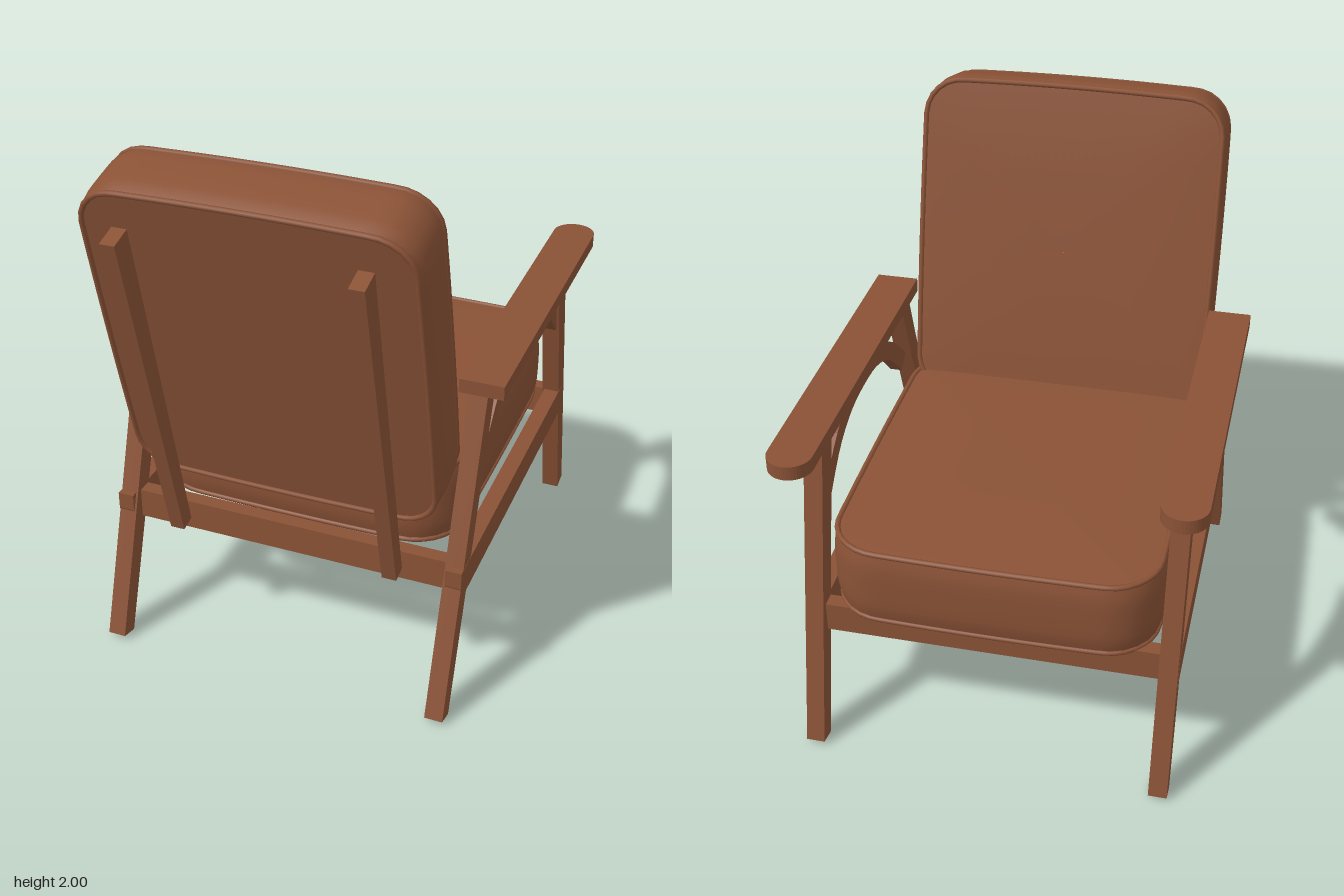
import * as THREE from 'three';

const wood = new THREE.MeshStandardMaterial({ color: 0x8a5236 });
wood.name = 'warm brown';

function add(parent, name, geometry) {
  const mesh = new THREE.Mesh(geometry, wood);
  mesh.name = name;
  parent.add(mesh);
  return mesh;
}

// Side profile given as [z, y] points, extruded across x0..x1
function sidePrism(points, x0, x1) {
  const shape = new THREE.Shape(points.map(([z, y]) => new THREE.Vector2(z, y)));
  const geo = new THREE.ExtrudeGeometry(shape, { depth: x1 - x0, bevelEnabled: false });
  return geo.rotateY(-Math.PI / 2).translate(x1, 0, 0);
}

// Same profile on both sides of the chair
function pair(parent, name, points, x0, x1) {
  add(parent, name + 'Left', sidePrism(points, x0, x1));
  add(parent, name + 'Right', sidePrism(points, -x1, -x0));
}

// Rounded rectangle in the x/z plane with slightly bowed edges
function outline(hx, hz, r, grow = 0) {
  const X = hx - r, Z = hz - r, R = r + grow, q = Math.PI / 2;
  const s = new THREE.Shape();
  s.absarc(X, Z, R, 0, q);
  s.absarc(-X, Z, R, q, 2 * q);
  s.absarc(-X, -Z, R, 2 * q, 3 * q);
  s.absarc(X, -Z, R, 3 * q, 4 * q);
  s.closePath();
  return s.getSpacedPoints(96).slice(0, 96).map(p => new THREE.Vector2(
    p.x * (1 + 0.012 * (1 - (p.y / hz) ** 2)),
    p.y * (1 + 0.02 * (1 - (p.x / hx) ** 2))));
}

// Skin over a stack of closed rings
function loft(rings) {
  const n = rings[0].length, pos = [], idx = [];
  rings.forEach(ring => ring.forEach(p => pos.push(p.x, p.y, p.z)));
  for (let i = 0; i < rings.length - 1; i++) {
    for (let j = 0; j < n; j++) {
      const k = (j + 1) % n, a = i * n + j, b = i * n + k, c = a + n, d = b + n;
      idx.push(a, c, b, b, c, d);
    }
  }
  const geo = new THREE.BufferGeometry();
  geo.setAttribute('position', new THREE.Float32BufferAttribute(pos, 3));
  geo.setIndex(idx);
  geo.computeVertexNormals();
  return geo;
}

// Box cushion: bulging sides, crowned top, piping along both seams
function cushion(name, hx, hz, r, thick, crown) {
  const g = new THREE.Group();
  g.name = name;
  const h = thick / 2;
  const ring = (pts, y, s = 1) => pts.map(p => new THREE.Vector3(p.x * s, y, p.y * s));
  const edge = outline(hx, hz, r);
  const steps = [1, 0.94, 0.85, 0.7, 0.5, 0.25, 0.001];
  add(g, 'topFace', loft(steps.map(s => ring(edge, h + crown * (1 - s ** 3), s))));
  add(g, 'bottomFace', loft([ring(edge, -h, 0.001), ring(edge, -h)]));
  const sides = [];
  for (let i = 0; i <= 8; i++) {
    const t = i / 4 - 1;
    sides.push(ring(outline(hx, hz, r, 0.016 * (1 - t ** 4)), t * h));
  }
  add(g, 'sideBand', loft(sides));
  for (const y of [-h, h]) {
    const path = new THREE.CatmullRomCurve3(ring(edge, y), true);
    add(g, 'piping', new THREE.TubeGeometry(path, 120, 0.01, 8, true));
  }
  return g;
}

export function createModel() {
  const chair = new THREE.Group();
  chair.name = 'armchair';

  // Raked, tapered legs
  pair(chair, 'frontLeg', [[-0.935, 0.02], [-0.868, 0.005], [-0.59, 1.16], [-0.685, 1.178]], 0.6, 0.667);
  pair(chair, 'backLeg', [[0.665, 0.003], [0.735, 0.022], [0.35, 1.178], [0.268, 1.15]], 0.6, 0.667);

  // Seat frame
  pair(chair, 'sideRail', [[-0.815, 0.45], [-0.785, 0.565], [0.58, 0.565], [0.58, 0.5], [0.56, 0.45]].reverse(), 0.608, 0.668);
  add(chair, 'backRail', new THREE.BoxGeometry(1.22, 0.115, 0.055).translate(0, 0.507, 0.505));
  add(chair, 'frontRail', new THREE.BoxGeometry(1.22, 0.115, 0.055).translate(0, 0.507, -0.765));

  // Curved braces below the arms
  const spline = pts => new THREE.SplineCurve(pts.map(p => new THREE.Vector2(...p))).getPoints(20).map(p => [p.x, p.y]);
  const outer = spline([[0.305, 0.945], [0.15, 1.09], [-0.02, 1.168], [-0.195, 1.187], [-0.37, 1.168], [-0.54, 1.09], [-0.695, 0.945]]);
  const inner = spline([[0.245, 0.9], [0.105, 1.035], [-0.04, 1.1], [-0.195, 1.115], [-0.35, 1.1], [-0.495, 1.035], [-0.64, 0.9]]);
  pair(chair, 'armBrace', [...outer, ...inner.reverse()], 0.61, 0.657);

  // Flat arms, rounded at the front end
  for (const [side, name] of [[1, 'armrestLeft'], [-1, 'armrestRight']]) {
    const c = side * 0.656, r = 0.079;
    const s = new THREE.Shape();
    s.moveTo(c - r, -0.405);
    s.lineTo(c + r, -0.405);
    s.absarc(c, 0.832, r, 0, Math.PI);
    s.closePath();
    const geo = new THREE.ExtrudeGeometry(s, { depth: 0.052, bevelEnabled: false, curveSegments: 10 });
    const arm = add(chair, name, geo.rotateX(-Math.PI / 2));
    arm.position.y = 1.184;
    arm.rotation.x = 0.01;
  }

  // Uprights behind the back cushion
  pair(chair, 'backSlat', [[0.548, 0.505], [0.607, 0.492], [0.94, 1.787], [0.856, 1.81]].reverse(), 0.386, 0.44);

  // Cushions
  const seat = cushion('seatCushion', 0.57, 0.635, 0.17, 0.29, 0.018);
  seat.position.set(0, 0.71, -0.185);
  chair.add(seat);
  const back = cushion('backCushion', 0.562, 0.615, 0.13, 0.24, 0.012);
  back.position.set(0, 1.355, 0.588);
  back.rotation.x = -1.318;
  chair.add(back);

  // Keep every extruded profile facing outwards
  chair.children.forEach(m => { if (m.isMesh) faceOutward(m.geometry); });
  return chair;
}

// Flip a solid whose signed volume is negative
function faceOutward(geo) {
  const p = geo.attributes.position, v = [0, 1, 2].map(() => new THREE.Vector3());
  if (geo.index) return;
  let volume = 0;
  for (let i = 0; i < p.count; i += 3) {
    v.forEach((q, k) => q.fromBufferAttribute(p, i + k));
    volume += v[0].dot(v[1].clone().cross(v[2]));
  }
  if (volume >= 0) return;
  for (let i = 0; i < p.count; i += 3) {
    v[1].fromBufferAttribute(p, i + 1);
    v[2].fromBufferAttribute(p, i + 2);
    p.setXYZ(i + 1, v[2].x, v[2].y, v[2].z);
    p.setXYZ(i + 2, v[1].x, v[1].y, v[1].z);
  }
  geo.computeVertexNormals();
}
